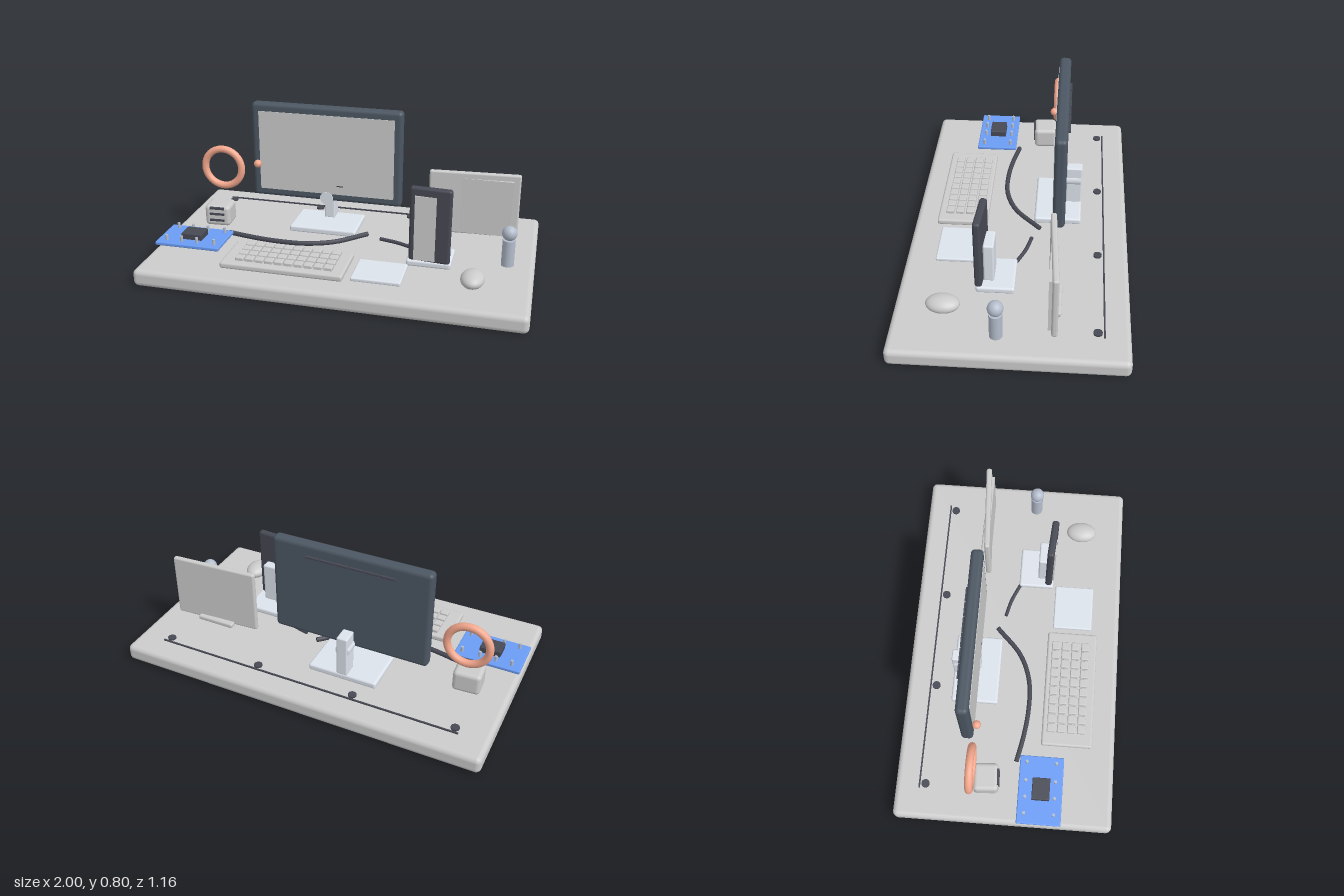
import * as THREE from 'three';
import { RoundedBoxGeometry } from 'three/addons/geometries/RoundedBoxGeometry.js';

const mat = (color) => new THREE.MeshStandardMaterial({ color });
const grey = mat(0xcccccc);
const pale = mat(0xdde3ec);
const slate = mat(0x4c5763);
const dark = mat(0x474954);
const blue = mat(0x6b9df5);
const coral = mat(0xf4a88e);
const steel = mat(0xb4bdcc);

export function createModel() {
  const model = new THREE.Group();

  const add = (name, geometry, material, x, y, z, parent = model) => {
    const mesh = new THREE.Mesh(geometry, material);
    mesh.name = name;
    mesh.position.set(x, y, z);
    parent.add(mesh);
    return mesh;
  };
  // Box given by its extents; r > 0 rounds the edges
  const box = (name, material, [x0, x1], [y0, y1], [z0, z1], r = 0, parent = model) => {
    const size = [x1 - x0, y1 - y0, z1 - z0];
    const geometry = r > 0 ? new RoundedBoxGeometry(...size, 3, r) : new THREE.BoxGeometry(...size);
    return add(name, geometry, material, (x0 + x1) / 2, (y0 + y1) / 2, (z0 + z1) / 2, parent);
  };
  const cylinder = (name, material, r, h, x, y, z, parent = model) =>
    add(name, new THREE.CylinderGeometry(r, r, h, 24), material, x, y, z, parent);
  const group = (name) => {
    const g = new THREE.Group();
    g.name = name;
    model.add(g);
    return g;
  };

  // Desk top
  box('desk', grey, [-1, 1], [0, 0.093], [-0.58, 0.58], 0.028);

  // Monitor with stand
  const monitor = group('monitor');
  box('monitorFrame', slate, [-0.597, 0.253], [0.25, 0.795], [-0.242, -0.178], 0.022, monitor);
  box('monitorScreen', grey, [-0.555, 0.21], [0.295, 0.75], [-0.19, -0.175], 0, monitor);
  box('screenMark', dark, [-0.11, -0.075], [0.342, 0.348], [-0.18, -0.174], 0, monitor);
  for (let i = 0; i < 6; i++) {
    const x = -0.41 + i * 0.08;
    box('monitorVent', dark, [x, x + 0.074], [0.723, 0.733], [-0.253, -0.24], 0, monitor);
  }
  box('standBase', pale, [-0.36, 0.02], [0.088, 0.125], [-0.328, -0.073], 0.012, monitor);
  box('standNeck', pale, [-0.2, -0.14], [0.12, 0.35], [-0.327, -0.24], 0.008, monitor);
  const hinge = cylinder('standHinge', pale, 0.037, 0.148, -0.17, 0.268, -0.246, monitor);
  hinge.rotation.x = Math.PI / 2;

  // Keyboard
  const keyboard = group('keyboard');
  box('keyboardBody', grey, [-0.57, 0.077], [0.095, 0.129], [0.18, 0.455], 0.012, keyboard);
  for (let row = 0; row < 4; row++) {
    for (let col = 0; col < 10; col++) {
      const x = -0.499 + col * 0.0522;
      const z = 0.206 + row * 0.0545;
      box('key', grey, [x, x + 0.046], [0.122, 0.147], [z, z + 0.044], 0.006, keyboard);
    }
  }

  // Touchpad and mouse
  box('touchpad', pale, [0.11, 0.366], [0.09, 0.112], [0.205, 0.423], 0.008);
  add('mouse', new THREE.SphereGeometry(1, 32, 20), grey, 0.708, 0.136, 0.335).scale.set(0.06, 0.04, 0.085);

  // Phone on its dock
  const phone = group('phone');
  box('dockBase', pale, [0.35, 0.582], [0.09, 0.125], [-0.005, 0.19], 0.012, phone);
  box('dockSupport', pale, [0.4, 0.525], [0.12, 0.35], [0.1, 0.155], 0.01, phone);
  box('phoneBody', dark, [0.36, 0.576], [0.12, 0.527], [0.15, 0.188], 0.014, phone).rotation.y = -0.08;
  box('phoneScreen', grey, [0.388, 0.548], [0.13, 0.483], [0.17, 0.1905], 0, phone);

  // Tablet with rear foot
  const tablet = group('tablet');
  box('tabletBody', grey, [0.405, 0.892], [0.132, 0.489], [-0.216, -0.186], 0.011, tablet).rotation.y = 0.058;
  box('tabletScreen', grey, [0.44, 0.856], [0.14, 0.455], [-0.2, -0.182], 0, tablet);
  box('tabletFoot', grey, [0.54, 0.755], [0.124, 0.152], [-0.243, -0.205], 0.01, tablet);

  // Headset: ring band and microphone bead
  add('headsetRing', new THREE.TorusGeometry(0.109, 0.02, 16, 48), coral, -0.775, 0.403, -0.168);
  add('microphone', new THREE.SphereGeometry(0.022, 20, 14), coral, -0.562, 0.448, -0.155);

  // Slotted speaker
  const speaker = group('speaker');
  speaker.position.set(-0.778, 0.155, -0.098);
  speaker.rotation.y = 0.06;
  box('speakerBody', grey, [-0.073, 0.073], [-0.06, 0.06], [-0.066, 0.066], 0.022, speaker);
  for (const y of [-0.023, 0.014, 0.048]) {
    box('speakerSlot', dark, [-0.042, 0.042], [y - 0.006, y + 0.006], [0.055, 0.072], 0, speaker);
  }

  // Circuit board with chip and pins
  const board = group('circuitBoard');
  box('boardPlate', blue, [-0.995, -0.635], [0.11, 0.13], [0.075, 0.31], 0.006, board);
  box('chip', dark, [-0.87, -0.755], [0.125, 0.163], [0.148, 0.242], 0.004, board);
  for (const x of [-0.942, -0.857, -0.77, -0.672]) {
    for (const z of [0.113, 0.27]) cylinder('pin', steel, 0.008, 0.035, x, 0.143, z, board);
  }

  // Small figure
  cylinder('figureBody', steel, 0.033, 0.143, 0.86, 0.167, 0.062);
  add('figureHead', new THREE.SphereGeometry(0.039, 28, 18), steel, 0.86, 0.274, 0.062);

  // Cables lying on the desk: [x, z] points at a fixed height, with end caps
  const cable = (name, points, r, y) => {
    const curve = new THREE.CatmullRomCurve3(points.map(([x, z]) => new THREE.Vector3(x, y, z)));
    add(name, new THREE.TubeGeometry(curve, 18, r, 10), dark, 0, 0, 0);
    for (const t of [0, 1]) {
      const p = curve.getPoint(t);
      const cap = add(name + 'End', new THREE.CylinderGeometry(r, r, 0.004, 10), dark, p.x, p.y, p.z);
      cap.quaternion.setFromUnitVectors(new THREE.Vector3(0, 1, 0), curve.getTangent(t));
    }
  };
  cable('boardCable', [[-0.665, 0.055], [-0.53, 0.083], [-0.38, 0.1], [-0.22, 0.093], [-0.07, 0.035], [0.082, -0.105]], 0.013, 0.107);
  cable('dockCable', [[0.165, -0.067], [0.26, -0.042], [0.36, 0.002]], 0.01, 0.104);

  // Rear cable run and its clips
  box('rearCable', dark, [-0.845, 0.845], [0.091, 0.1], [-0.456, -0.448]);
  for (let i = 0; i < 4; i++) cylinder('cableClip', dark, 0.022, 0.016, -0.82 + i * 0.545, 0.094, -0.42);

  return model;
}
